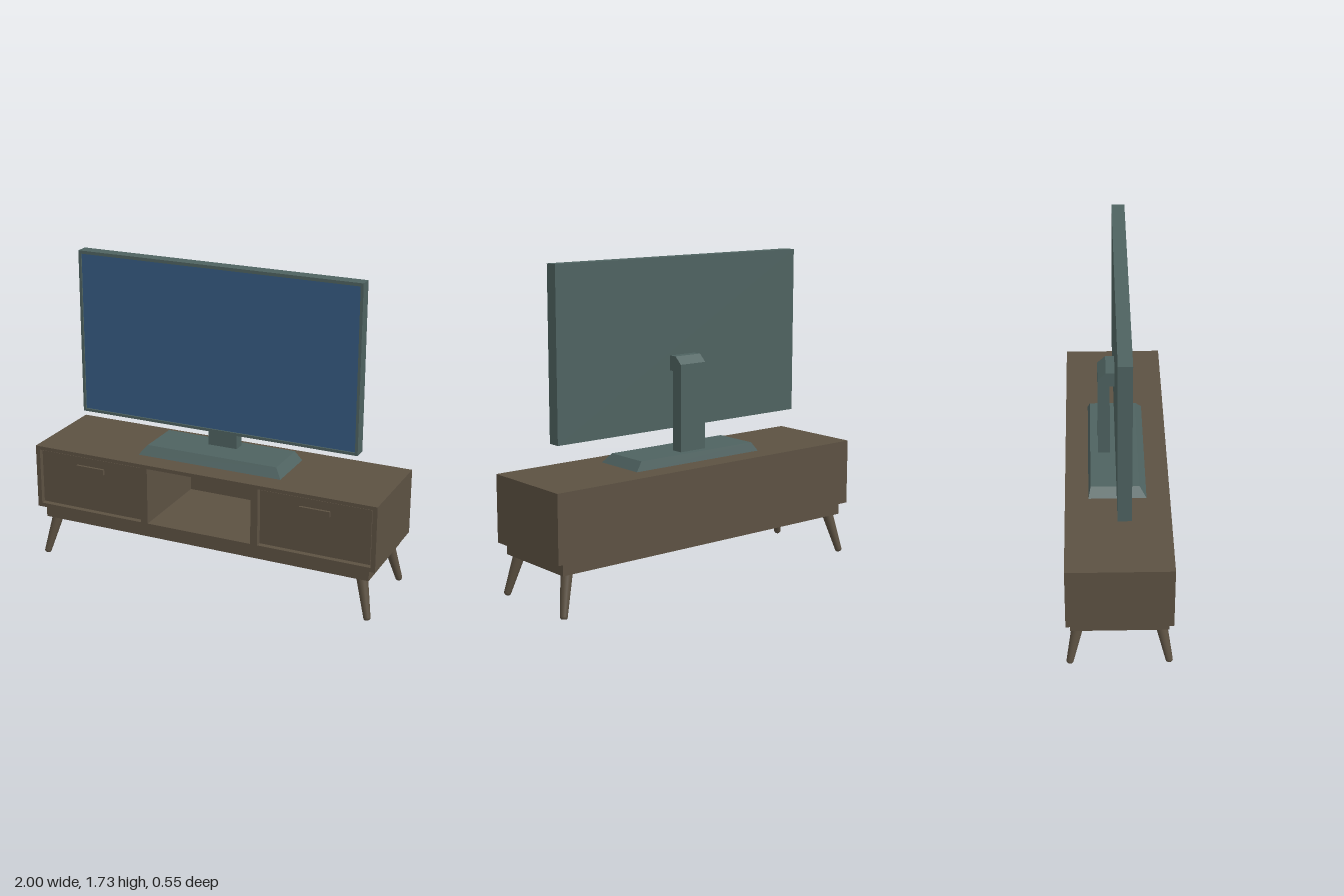
import * as THREE from 'three';

const wood = new THREE.MeshStandardMaterial({ name: 'darkWood', color: 0x5c5142 });
const casing = new THREE.MeshStandardMaterial({ name: 'greyGreenCasing', color: 0x4e6260 });
const glass = new THREE.MeshStandardMaterial({ name: 'blueScreen', color: 0x365b82 });

function add(parent, name, geometry, material) {
  const mesh = new THREE.Mesh(geometry, material);
  mesh.name = name;
  parent.add(mesh);
  return mesh;
}

// Box given by its lower and upper limits on each axis
function box(x0, x1, y0, y1, z0, z1) {
  return new THREE.BoxGeometry(x1 - x0, y1 - y0, z1 - z0)
    .translate((x0 + x1) / 2, (y0 + y1) / 2, (z0 + z1) / 2);
}

const corners = (x0, x1, y0, y1) => [[x0, y0], [x1, y0], [x1, y1], [x0, y1]].map(p => new THREE.Vector2(...p));

// Rectangular frame with rectangular openings, running from z0 to z1
function frame(outer, holes, z0, z1) {
  const shape = new THREE.Shape(corners(...outer));
  for (const h of holes) shape.holes.push(new THREE.Path(corners(...h).reverse()));
  return new THREE.ExtrudeGeometry(shape, { depth: z1 - z0, bevelEnabled: false }).translate(0, 0, z0);
}

function createCabinet() {
  const g = new THREE.Group();
  g.name = 'cabinet';
  const drawerHoles = [[-0.975, -0.345, 0.31, 0.63], [0.345, 0.975, 0.31, 0.63]];
  add(g, 'cabinetBody', frame([-1, 1, 0.287, 0.65], [...drawerHoles, [-0.305, 0.305, 0.31, 0.63]], -0.255, 0.275), wood);
  add(g, 'backPanel', box(-1, 1, 0.287, 0.65, -0.275, -0.255), wood);
  add(g, 'plinth', box(-0.96, 0.96, 0.222, 0.287, -0.253, 0.253), wood);

  // Inset drawers with bar handles
  for (const [x0, x1, y0, y1] of drawerHoles) {
    const gap = 0.008, mid = (x0 + x1) / 2;
    add(g, 'drawer', box(x0 + gap, x1 - gap, y0 + gap, y1 - gap, -0.25, 0.26), wood);
    add(g, 'drawerHandle', box(mid - 0.084, mid + 0.084, 0.544, 0.575, 0.26, 0.274), wood);
  }

  // Splayed, tapered legs with rounded feet
  const up = new THREE.Vector3(0, 1, 0);
  for (const sx of [-1, 1]) for (const sz of [-1, 1]) {
    const foot = new THREE.Vector3(sx * 0.963, 0.003, sz * 0.259);
    const top = new THREE.Vector3(sx * 0.906, 0.24, sz * 0.209);
    const axis = top.clone().sub(foot);
    const profile = [[0, 0], [0.013, 0], [0.018, 0.006], [0.019, 0.014], [0.032, axis.length()]]
      .map(p => new THREE.Vector2(...p));
    const leg = add(g, 'leg', new THREE.LatheGeometry(profile, 20), wood);
    leg.position.copy(foot);
    leg.quaternion.setFromUnitVectors(up, axis.normalize());
  }
  return g;
}

function createTelevision() {
  const g = new THREE.Group();
  g.name = 'television';
  const outer = [-0.81, 0.81, 0.817, 1.73];
  const inner = [-0.795, 0.795, 0.832, 1.713];
  add(g, 'televisionBack', box(...outer, -0.008, 0.052), casing);
  add(g, 'bezel', frame(outer, [inner], 0.052, 0.063), casing);
  add(g, 'screen', box(...inner, 0.052, 0.055), glass);

  // Bent neck, drawn in side profile as (z, y)
  const neck = new THREE.Shape([
    [-0.034, 0.69], [-0.034, 1.13], [-0.007, 1.13], [-0.007, 1.21],
    [-0.055, 1.21], [-0.098, 1.17], [-0.098, 0.69],
  ].map(p => new THREE.Vector2(...p)));
  add(g, 'standNeck', new THREE.ExtrudeGeometry(neck, { depth: 0.168, bevelEnabled: false })
    .translate(0, 0, -0.084).rotateY(-Math.PI / 2), casing);

  // Foot plate with sloping sides, steeper at the back
  const base = box(-0.42, 0.42, 0.65, 0.7, -0.152, 0.152);
  const pos = base.attributes.position;
  for (let i = 0; i < pos.count; i++) {
    if (pos.getY(i) < 0.68) continue;
    pos.setX(i, Math.sign(pos.getX(i)) * 0.381);
    pos.setZ(i, pos.getZ(i) > 0 ? 0.116 : -0.14);
  }
  const flatBase = base.toNonIndexed();
  flatBase.computeVertexNormals();
  add(g, 'standBase', flatBase, casing);
  return g;
}

export function createModel() {
  const model = new THREE.Group();
  model.name = 'televisionOnCabinet';
  model.add(createCabinet(), createTelevision());
  return model;
}
